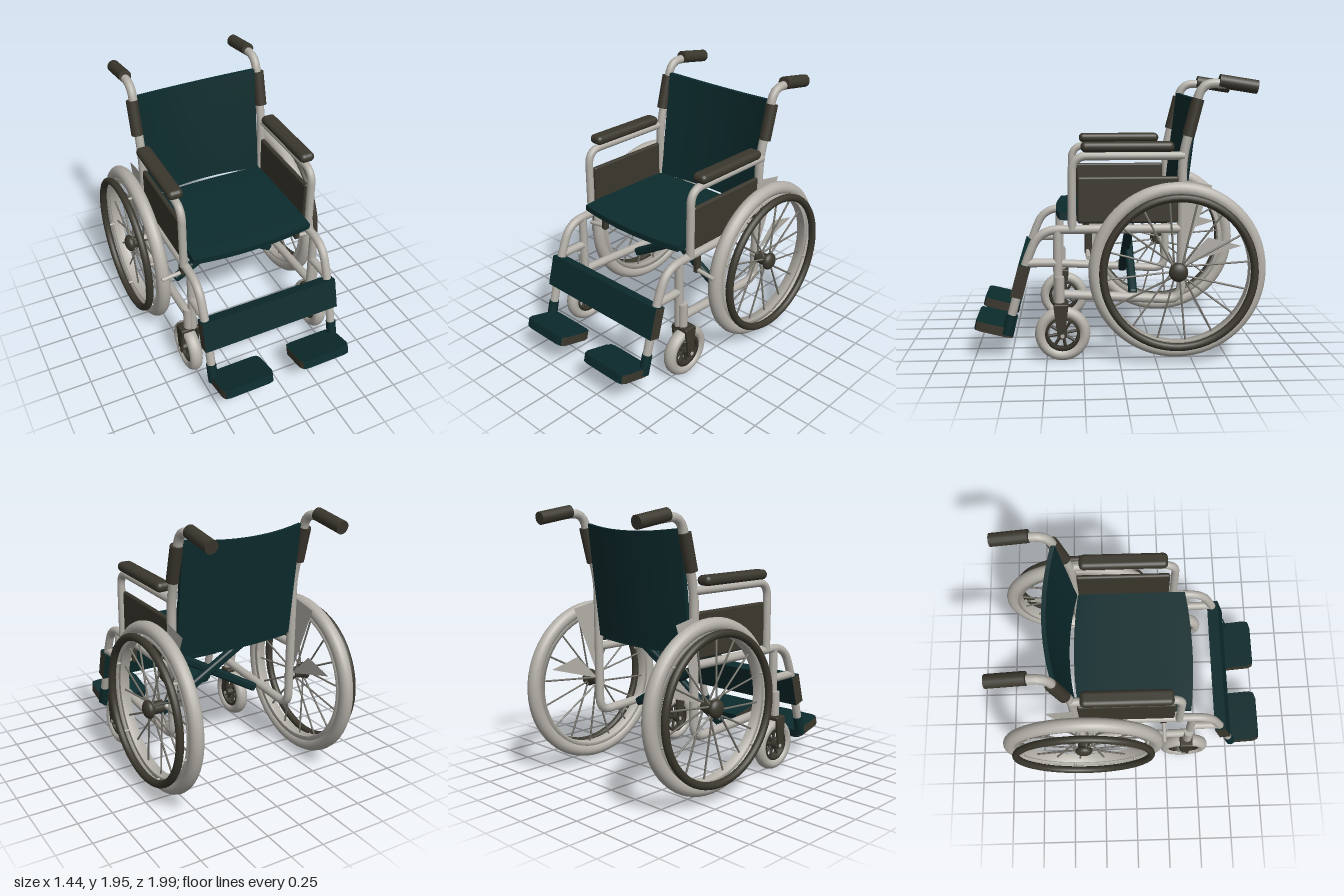
import * as THREE from 'three';
import { RoundedBoxGeometry } from 'three/addons/geometries/RoundedBoxGeometry.js';

const V = (x, y, z) => new THREE.Vector3(x, y, z);

export function createModel() {
  const root = new THREE.Group();
  root.name = 'wheelchair';
  const mat = (name, color, side = THREE.FrontSide) => {
    const m = new THREE.MeshStandardMaterial({ color, side });
    m.name = name;
    return m;
  };
  const grey = mat('paleGreyFrame', 0xb4b0a9, THREE.DoubleSide);
  const green = mat('darkGreenCloth', 0x0c2b2d);
  const olive = mat('darkOlivePlastic', 0x3a372d);
  const steel = mat('spokeSteel', 0x77746c);

  const add = (name, geo, material, pos, parent = root) => {
    const m = new THREE.Mesh(geo, material);
    m.name = name;
    if (pos) m.position.copy(pos);
    parent.add(m);
    return m;
  };
  // Straight rod between two points, optionally tapered
  const rod = (name, a, b, r, material, parent, r2 = r, sides = 16) => {
    const m = add(name, new THREE.CylinderGeometry(r2, r, a.distanceTo(b), sides), material, a.clone().lerp(b, 0.5), parent);
    m.quaternion.setFromUnitVectors(V(0, 1, 0), b.clone().sub(a).normalize());
    return m;
  };
  // Bent pipe: straight runs joined by rounded corners
  const pipe = (name, pts, r, bend, material, parent) => {
    const path = new THREE.CurvePath();
    let last = pts[0];
    for (let i = 1; i < pts.length - 1; i++) {
      const p = pts[i];
      const toward = q => p.clone().add(q.clone().sub(p).setLength(Math.min(bend, p.distanceTo(q) * 0.48)));
      const a = toward(pts[i - 1]), b = toward(pts[i + 1]);
      path.add(new THREE.LineCurve3(last, a));
      path.add(new THREE.QuadraticBezierCurve3(a, p, b));
      last = b;
    }
    path.add(new THREE.LineCurve3(last, pts[pts.length - 1]));
    return add(name, new THREE.TubeGeometry(path, 72, r, 14), material, null, parent);
  };
  // Move vertices of a geometry by a rule
  const warp = (geo, rule) => {
    const p = geo.attributes.position, v = V(0, 0, 0);
    for (let i = 0; i < p.count; i++) {
      rule(v.fromBufferAttribute(p, i));
      p.setXYZ(i, v.x, v.y, v.z);
    }
    geo.computeVertexNormals();
    return geo;
  };
  // Wheel parts spin about the x axis
  const ring = (name, R, r, material, pos, parent) => {
    const m = add(name, new THREE.TorusGeometry(R, r, 14, 64), material, pos, parent);
    m.rotation.y = Math.PI / 2;
    return m;
  };
  const band = (name, r0, r1, w, material, pos, parent) => {
    const pts = [[r0, -w], [r1, -w], [r1, w], [r0, w], [r0, -w]].map(p => new THREE.Vector2(p[0], p[1] / 2));
    const m = add(name, new THREE.LatheGeometry(pts, 64), material, pos, parent);
    m.rotation.z = Math.PI / 2;
    return m;
  };
  const polar = (x, r, a) => V(x, Math.cos(a) * r, Math.sin(a) * r);

  // Seat and back cloth
  const bow = x => 1 - (x / 0.46) ** 2;
  add('seat', warp(new RoundedBoxGeometry(0.92, 0.06, 0.81, 4, 0.025), () => {}), green, V(0, 0.988, 0)).visible = true;
  root.remove(root.children[0]);
  add('seat', warp(new THREE.BoxGeometry(0.92, 0.06, 0.81, 20, 2, 8), v => {
    if (Math.abs(v.y) > 0.02 && Math.abs(v.z) > 0.4) v.y *= 0.7;
    v.z *= 1 + 0.08 * bow(v.x);
    v.y -= 0.008 * bow(v.x);
  }), green, V(0, 0.992, 0));
  add('backrest', warp(new THREE.BoxGeometry(0.92, 0.82, 0.03, 24, 12, 1), v => {
    const t = v.y / 0.82 + 0.5;
    v.z += -0.425 - 0.095 * t - 0.06 * bow(v.x);
    v.y += 1.41 - 0.03 * t * bow(v.x);
  }), green);

  // Folding cross braces
  for (const s of [-1, 1]) {
    const brace = add('crossBrace', new RoundedBoxGeometry(0.98, 0.065, 0.06, 3, 0.02), green, V(0, 0.68, -0.09 + s * 0.012));
    brace.rotation.z = s * 0.53;
  }

  // Calf strap, with olive ends
  const strap = add('calfStrap', new THREE.BoxGeometry(1.06, 0.23, 0.085), [olive, olive, green, green, green, green], V(0, 0.555, 0.675));
  strap.rotation.x = -0.26;

  for (const s of [-1, 1]) {
    const side = new THREE.Group();
    side.name = s > 0 ? 'leftSide' : 'rightSide';
    root.add(side);
    const P = (x, y, z) => V(s * x, y, z);

    // Frame pipes
    pipe('seatRailAndLegTube', [P(0.49, 0.91, -0.42), P(0.49, 0.91, 0.54), P(0.49, 0.68, 0.64), P(0.49, 0.2, 0.77)], 0.031, 0.14, grey, side);
    pipe('backPostAndLowerRail', [P(0.49, 0.46, 0.42), P(0.49, 0.41, -0.43), P(0.49, 1.4, -0.43), P(0.49, 1.9, -0.555), P(0.49, 1.87, -0.9)], 0.032, 0.1, grey, side);
    rod('frontPost', P(0.49, 0.4, 0.42), P(0.49, 0.91, 0.42), 0.031, grey, side);
    rod('legStrut', P(0.49, 0.68, 0.62), P(0.49, 0.68, 0.42), 0.03, grey, side);
    pipe('armrestTube', [P(0.5, 0.91, 0.32), P(0.5, 1.41, 0.32), P(0.5, 1.41, -0.44)], 0.029, 0.11, grey, side);

    // Grip and back post sleeve
    rod('pushGrip', P(0.488, 1.908, -0.67), P(0.488, 1.867, -0.93), 0.046, olive, side);
    rod('backSleeve', P(0.5, 1.54, -0.465), P(0.5, 1.79, -0.528), 0.043, olive, side);

    // Armrest pad and skirt guard
    add('armrestPad', new RoundedBoxGeometry(0.112, 0.07, 0.63, 4, 0.033), olive, P(0.503, 1.472, -0.055), side);
    add('skirtGuard', new RoundedBoxGeometry(0.035, 0.32, 0.69, 3, 0.017), olive, P(0.49, 1.11, -0.06), side);

    // Footrest
    const plate = add('footplate', new THREE.BoxGeometry(0.4, 0.066, 0.275, 8, 1, 6), [olive, olive, green, green, green, green], P(0.31, 0.217, 0.86), side);
    warp(plate.geometry, v => {
      const cx = Math.abs(v.x) / 0.2, cz = Math.abs(v.z) / 0.1375;
      if (cx > 0.99 && cz > 0.99) { v.x *= 0.93; v.z *= 0.93; }
    });
    plate.rotation.x = -0.25;
    rod('footCollar', P(0.492, 0.18, 0.775), P(0.492, 0.32, 0.738), 0.036, green, side);

    // Rear wheel
    const wheel = new THREE.Group();
    wheel.name = 'rearWheel';
    wheel.position.copy(P(0.6, 0.64, -0.39));
    side.add(wheel);
    ring('tyre', 0.553, 0.05, grey, null, wheel);
    band('rim', 0.488, 0.53, 0.07, grey, null, wheel);
    ring('handRim', 0.507, 0.027, olive, V(s * 0.093, 0, 0), wheel);
    rod('hub', V(-s * 0.05, 0, 0), V(s * 0.06, 0, 0), 0.045, olive, wheel);
    const cap = add('hubCap', new THREE.SphereGeometry(0.065, 24, 14), olive, V(s * 0.055, 0, 0), wheel);
    cap.scale.x = 0.6;
    rod('axle', V(-s * 0.12, 0, -0.02), V(0, 0, 0), 0.025, grey, wheel);
    for (let i = 0; i < 16; i++) {
      const a = (i + 0.3) * Math.PI / 8, off = i % 2 ? 0.04 : -0.04;
      rod('spoke', polar(off, 0.03, a + (i % 4 < 2 ? 0.5 : -0.5)), polar(0, 0.495, a), 0.007, steel, wheel, 0.007, 6);
    }
    for (let i = 0; i < 6; i++) {
      const a = i * Math.PI / 3 + 0.2;
      rod('handRimPeg', polar(s * 0.02, 0.505, a), polar(s * 0.09, 0.505, a), 0.009, grey, wheel, 0.009, 8);
    }

    // Triangular gusset plates behind the post
    for (const c of [[-0.42, 1.25, -0.63, 1.21, -0.43, 0.7], [-0.61, 0.85, -0.84, 0.79, -0.42, 0.66]]) {
      const g = new THREE.BufferGeometry();
      g.setAttribute('position', new THREE.Float32BufferAttribute(
        [0, 1, 2].flatMap(i => [s * 0.52, c[i * 2 + 1], c[i * 2]]), 3));
      g.computeVertexNormals();
      add('gussetPlate', g, grey, null, side);
    }

    // Front caster
    const caster = new THREE.Group();
    caster.name = 'caster';
    caster.position.copy(P(0.52, 0.19, 0.39));
    side.add(caster);
    const tyre = ring('casterTyre', 0.15, 0.04, grey, null, caster);
    tyre.scale.z = 1.2;
    band('casterRim', 0.1, 0.122, 0.06, olive, null, caster);
    rod('casterHub', V(-0.055, 0, 0), V(0.055, 0, 0), 0.03, olive, caster);
    rod('casterAxle', V(-0.075, 0, 0), V(0.075, 0, 0), 0.014, grey, caster);
    for (let i = 0; i < 8; i++) {
      const a = i * Math.PI / 4 + 0.2;
      rod('casterSpoke', polar(0, 0.02, a), polar(0, 0.108, a), 0.011, olive, caster, 0.011, 6);
    }
    for (const k of [-1, 1]) {
      const blade = add('forkBlade', new THREE.BoxGeometry(0.016, 0.22, 0.1), olive, V(k * 0.062, 0.09, 0.01), caster);
      warp(blade.geometry, v => { if (v.y < 0) v.z *= 0.45; });
    }
    add('forkCrown', new RoundedBoxGeometry(0.14, 0.03, 0.1, 2, 0.01), olive, V(0, 0.205, 0.01), caster);
    rod('casterStem', V(0.0, 0.2, 0.02), V(0.0, 0.4, 0.02), 0.034, grey, caster);

    // Wheel brake
    add('brakeBracket', new RoundedBoxGeometry(0.04, 0.17, 0.05, 2, 0.012), olive, P(0.47, 0.82, 0.21), side);
    rod('brakeBar', P(0.47, 0.76, 0.215), P(0.63, 0.74, 0.215), 0.015, grey, side);
  }
  return root;
}
